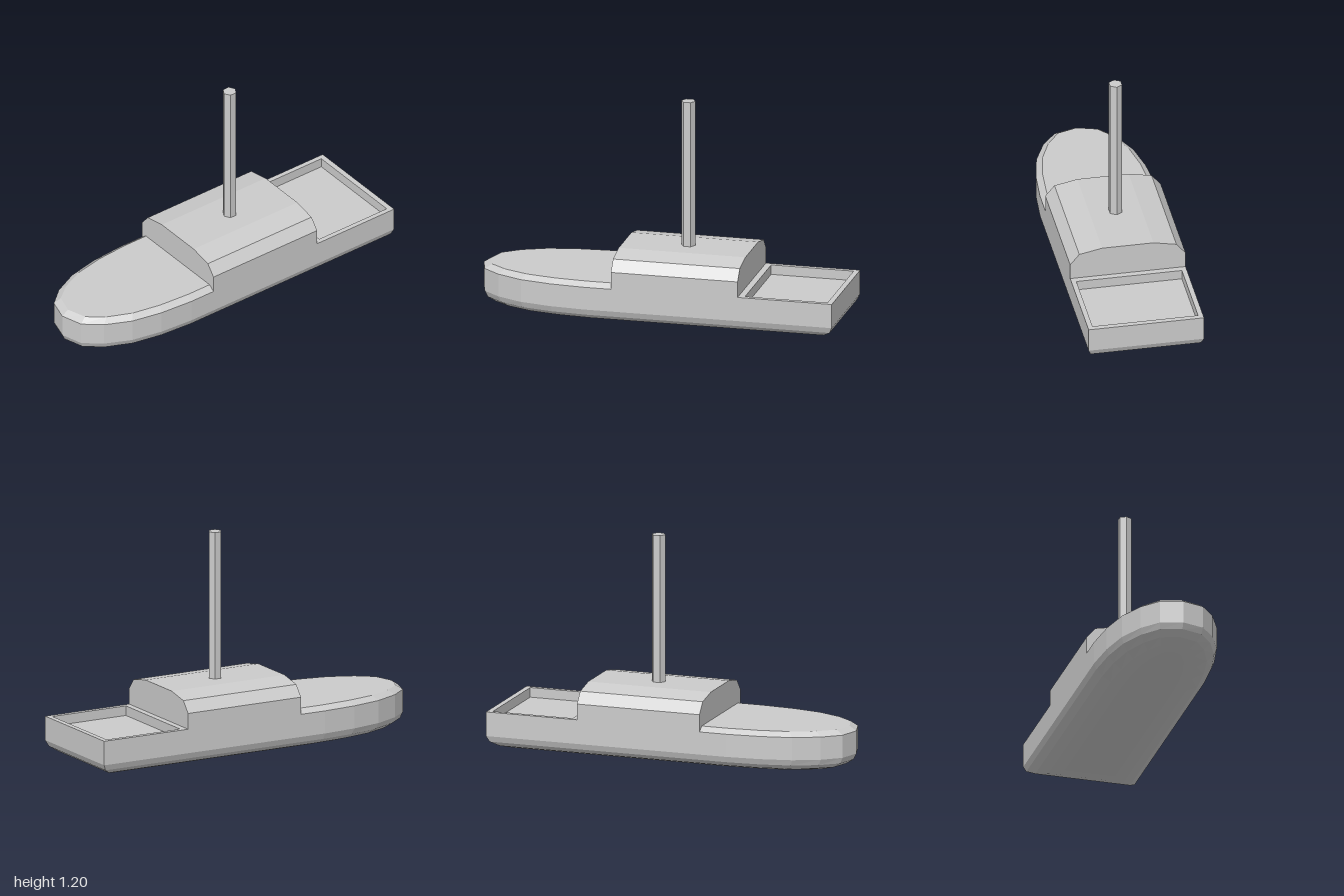
import * as THREE from 'three';

const material = new THREE.MeshStandardMaterial({ color: 0xcccccc, flatShading: true });

// Curve of one side of the bow, from the tip back to the straight side: [x, z]
const BOW = [[0.12, 0.965], [0.2, 0.87], [0.265, 0.73], [0.3, 0.56], [0.315, 0.37]];

// Closed plan outline, counter-clockwise from above, ending square at zBack
function outline(zBack) {
  const side = [...BOW, [0.315, zBack]];
  return [[0, 1], ...side, ...side.map(([x, z]) => [-x, z]).reverse()];
}

// Skin a stack of rings from bottom to top and close both ends
function loft(rings) {
  const pos = [];
  const tri = (...pts) => pts.forEach((p) => pos.push(...p));
  const n = rings[0].length;
  for (let r = 0; r < rings.length - 1; r++) {
    const a = rings[r], b = rings[r + 1];
    for (let i = 0; i < n; i++) {
      const j = (i + 1) % n;
      tri(a[i], a[j], b[j]);
      tri(a[i], b[j], b[i]);
    }
  }
  const bottom = rings[0], top = rings[rings.length - 1];
  for (let i = 1; i < n - 1; i++) {
    tri(bottom[0], bottom[i + 1], bottom[i]);
    tri(top[0], top[i], top[i + 1]);
  }
  const g = new THREE.BufferGeometry();
  g.setAttribute('position', new THREE.Float32BufferAttribute(pos, 3));
  g.computeVertexNormals();
  return g;
}

function rectangle(PathType, x, z0, z1) {
  // Drawn with y = -z, so that the extrusion can be turned upright
  return new PathType([[-x, -z1], [x, -z1], [x, -z0], [-x, -z0]].map(([a, b]) => new THREE.Vector2(a, b)));
}

export function createModel() {
  const group = new THREE.Group();
  const add = (name, geometry) => {
    const mesh = new THREE.Mesh(geometry, material);
    mesh.name = name;
    group.add(mesh);
    return mesh;
  };
  const floorY = 0.165;

  // Lower hull with a rounded bilge
  const plan = outline(-1);
  const rings = [];
  const steps = 4;
  for (let k = steps; k >= 0; k--) {
    const t = (k / steps) * Math.PI / 2;
    const inset = 0.2 * (1 - Math.cos(t));
    const y = 0.085 * (1 - Math.sin(t));
    rings.push(plan.map(([x, z]) => [x * (1 - inset / 0.36), y, z * (1 - inset)]));
  }
  rings.push(plan.map(([x, z]) => [x, floorY, z]));
  add('hull', loft(rings));

  // Raised foredeck with a bevelled edge
  const fore = outline(0.22);
  add('foredeck', loft([
    fore.map(([x, z]) => [x, floorY, z]),
    fore.map(([x, z]) => [x, 0.21, z]),
    fore.map(([x, z]) => [x * 0.89, 0.235, 0.22 + (z - 0.22) * 0.95]),
  ]));

  // Cabin with a faceted roof
  const half = [[0.315, floorY], [0.315, 0.305], [0.265, 0.365], [0.14, 0.39]];
  const section = [...half, ...half.map(([x, y]) => [-x, y]).reverse()];
  const cabinShape = new THREE.Shape(section.map(([x, y]) => new THREE.Vector2(x, y)));
  add('cabin', new THREE.ExtrudeGeometry(cabinShape, { depth: 0.7, bevelEnabled: false }))
    .position.z = -0.48;

  // Rim around the sunken stern deck
  const rim = rectangle(THREE.Shape, 0.315, -1, -0.48);
  rim.holes.push(rectangle(THREE.Path, 0.288, -0.97, -0.515));
  const rimGeometry = new THREE.ExtrudeGeometry(rim, { depth: 0.218 - floorY, bevelEnabled: false });
  add('sternRim', rimGeometry.rotateX(-Math.PI / 2)).position.y = floorY;

  // Hexagonal mast
  add('mast', new THREE.CylinderGeometry(0.038, 0.038, 0.82, 6))
    .position.set(0, 0.79, -0.13);

  return group;
}
